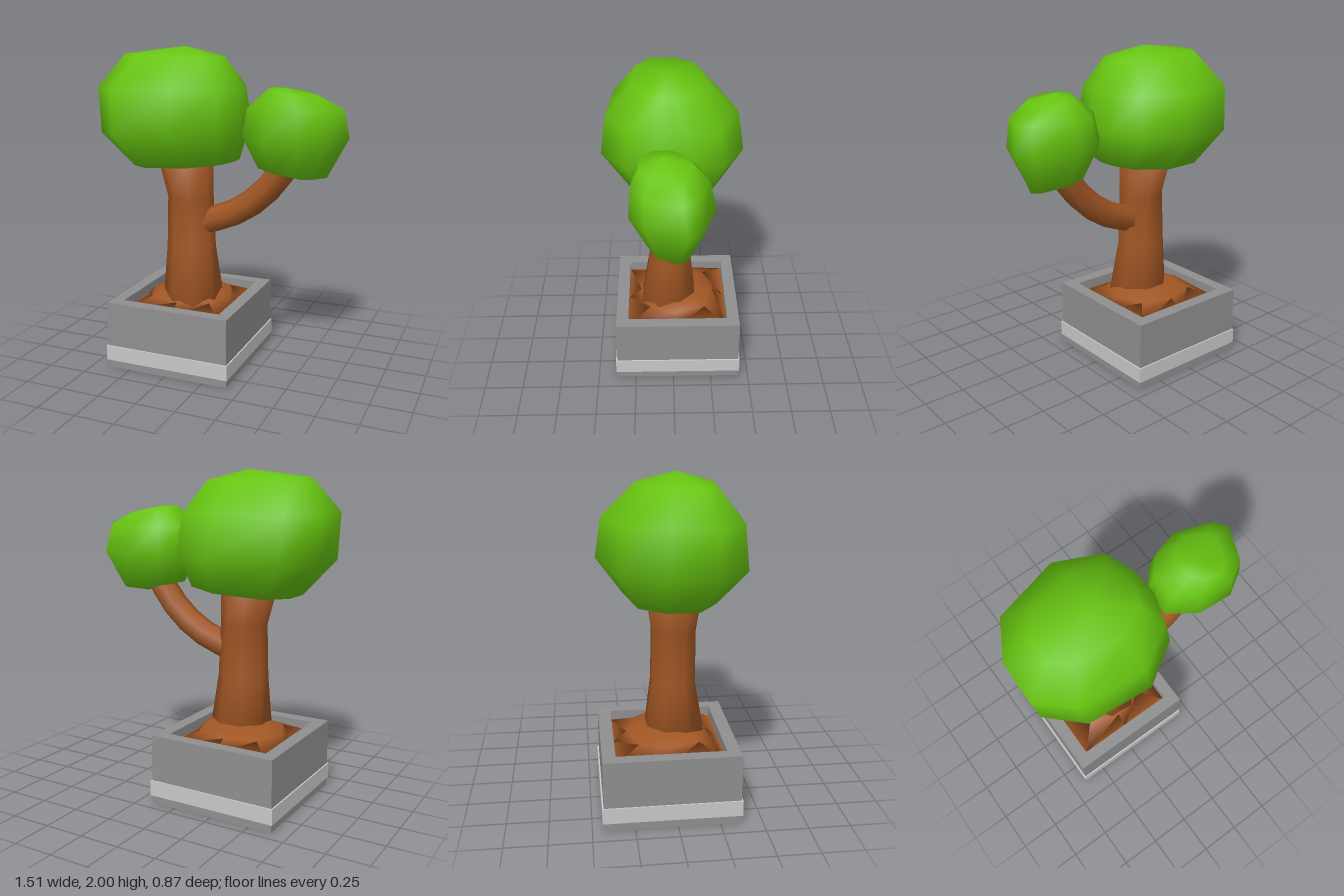
import * as THREE from 'three';

const material = (name, color) => Object.assign(new THREE.MeshStandardMaterial({ color }), { name });

// Unit outlines as [x, z] pairs, in order of angle
const circle = (n) => Array.from({ length: n }, (_, i) => {
  const a = ((i + 0.5) / n) * Math.PI * 2;
  return [Math.cos(a) / Math.cos(Math.PI / n), Math.sin(a) / Math.cos(Math.PI / n)];
});
const square = [[1, 0], [1, 1], [0, 1], [-1, 1], [-1, 0], [-1, -1], [0, -1], [1, -1]];
const octagon = [[1, 0], [0.75, 0.75], [0, 1], [-0.75, 0.75], [-1, 0], [-0.75, -0.75], [0, -1], [0.75, -0.75]];
const bigCrown = [[0.99, 0.18], [0.85, 0.64], [0.31, 0.99], [-0.58, 0.9], [-1, 0.48],
  [-0.99, -0.18], [-0.7, -0.74], [0.2, -1], [0.81, -0.69], [0.97, -0.23]];
const smallCrown = [[1, -0.3], [0.71, 0.63], [0.25, 1], [-0.45, 0.94], [-0.99, 0.48],
  [-0.99, -0.25], [-0.62, -0.77], [-0.05, -1], [0.78, -0.67]];

// Skin over cross-sections: each ring is { y, x: [min, max], z: [min, max], tilt, outline }
function loft(rings, outline, bottom, top) {
  const n = outline.length, pos = [], index = [];
  for (const r of rings) {
    const cx = (r.x[0] + r.x[1]) / 2, hx = (r.x[1] - r.x[0]) / 2;
    const cz = (r.z[0] + r.z[1]) / 2, hz = (r.z[1] - r.z[0]) / 2;
    for (const [u, v] of r.outline || outline) {
      pos.push(cx + u * hx, r.y + u * hx * (r.tilt || 0), cz + v * hz);
    }
  }
  pos.push(...bottom, ...top);
  const b = rings.length * n, t = b + 1, last = b - n;
  for (let i = 0; i < n; i++) {
    const k = (i + 1) % n;
    for (let j = 0; j < rings.length - 1; j++) {
      const a = j * n + i, c = j * n + k;
      index.push(a, a + n, c, c, a + n, c + n);
    }
    index.push(b, i, k, t, last + k, last + i);
  }
  const geo = new THREE.BufferGeometry();
  geo.setAttribute('position', new THREE.Float32BufferAttribute(pos, 3));
  geo.setIndex(index);
  geo.computeVertexNormals();
  return geo;
}

// Hollow square frame standing from y0 to y1
function frame(outer, inner, y0, y1) {
  const corners = (h) => [[-h, -h], [h, -h], [h, h], [-h, h]].map(([x, y]) => new THREE.Vector2(x, y));
  const shape = new THREE.Shape(corners(outer));
  shape.holes.push(new THREE.Path(corners(inner)));
  return new THREE.ExtrudeGeometry(shape, { depth: y1 - y0, bevelEnabled: false })
    .rotateX(-Math.PI / 2).translate(-0.243, y0, -0.03);
}

export function createModel() {
  const model = new THREE.Group();
  model.name = 'pottedTree';
  const leaf = material('leafGreen', 0x67c411);
  const bark = material('barkBrown', 0xa05624);
  const stone = material('stoneGrey', 0x8f8f8f);
  const pale = material('paleGrey', 0xc8c8c8);
  const add = (name, geo, mat) => {
    const mesh = new THREE.Mesh(geo, mat);
    mesh.name = name;
    model.add(mesh);
  };

  // Square planter with a pale band
  add('planterWalls', frame(0.402, 0.323, 0, 0.432), stone);
  add('planterFloor', new THREE.BoxGeometry(0.646, 0.02, 0.646).translate(-0.243, 0.01, -0.03), stone);
  add('planterBand', frame(0.411, 0.36, 0.05, 0.146), pale);

  // Mounded soil
  add('soil', loft([
    { y: 0.37, x: [-0.566, 0.08], z: [-0.353, 0.293], outline: square },
    { y: 0.435, x: [-0.5, 0.02], z: [-0.27, 0.21] },
    { y: 0.478, x: [-0.41, -0.03], z: [-0.19, 0.13] },
  ], octagon, [-0.243, 0.37, -0.03], [-0.22, 0.487, -0.02]), bark);

  // Trunk, flared at both ends
  add('trunk', loft([
    { y: 0.4, x: [-0.385, -0.025], z: [-0.155, 0.205] },
    { y: 0.76, x: [-0.367, -0.078], z: [-0.115, 0.143] },
    { y: 1.08, x: [-0.355, -0.09], z: [-0.11, 0.145] },
    { y: 1.32, x: [-0.415, -0.1], z: [-0.145, 0.175] },
  ], circle(8), [-0.2, 0.4, 0.02], [-0.25, 1.32, 0.02]), bark);

  // Side branch curving up into the small crown
  const path = new THREE.CatmullRomCurve3([
    [-0.19, 0.905], [-0.08, 0.94], [0.1, 1.015], [0.26, 1.14], [0.37, 1.28], [0.43, 1.38],
  ].map(([x, y]) => new THREE.Vector3(x, y, 0.015)));
  add('branch', new THREE.TubeGeometry(path, 6, 0.084, 7), bark);

  // Leaf crowns
  add('largeCrown', loft([
    { y: 1.295, x: [-0.56, 0.08], z: [-0.28, 0.265], tilt: 0.08 },
    { y: 1.51, x: [-0.735, 0.14], z: [-0.433, 0.435], tilt: 0.07 },
    { y: 1.755, x: [-0.757, 0.115], z: [-0.395, 0.4] },
    { y: 1.945, x: [-0.6, 0], z: [-0.2, 0.24], tilt: -0.03 },
  ], bigCrown, [-0.24, 1.25, 0], [-0.24, 2, 0.03]), leaf);
  add('smallCrown', loft([
    { y: 1.275, x: [0.24, 0.635], z: [-0.12, 0.145], tilt: -0.12 },
    { y: 1.485, x: [0.157, 0.753], z: [-0.23, 0.247] },
    { y: 1.655, x: [0.185, 0.722], z: [-0.19, 0.235] },
    { y: 1.75, x: [0.315, 0.585], z: [-0.1, 0.19], tilt: -0.18 },
  ], smallCrown, [0.48, 1.235, 0.01], [0.4, 1.772, 0.06]), leaf);

  return model;
}
